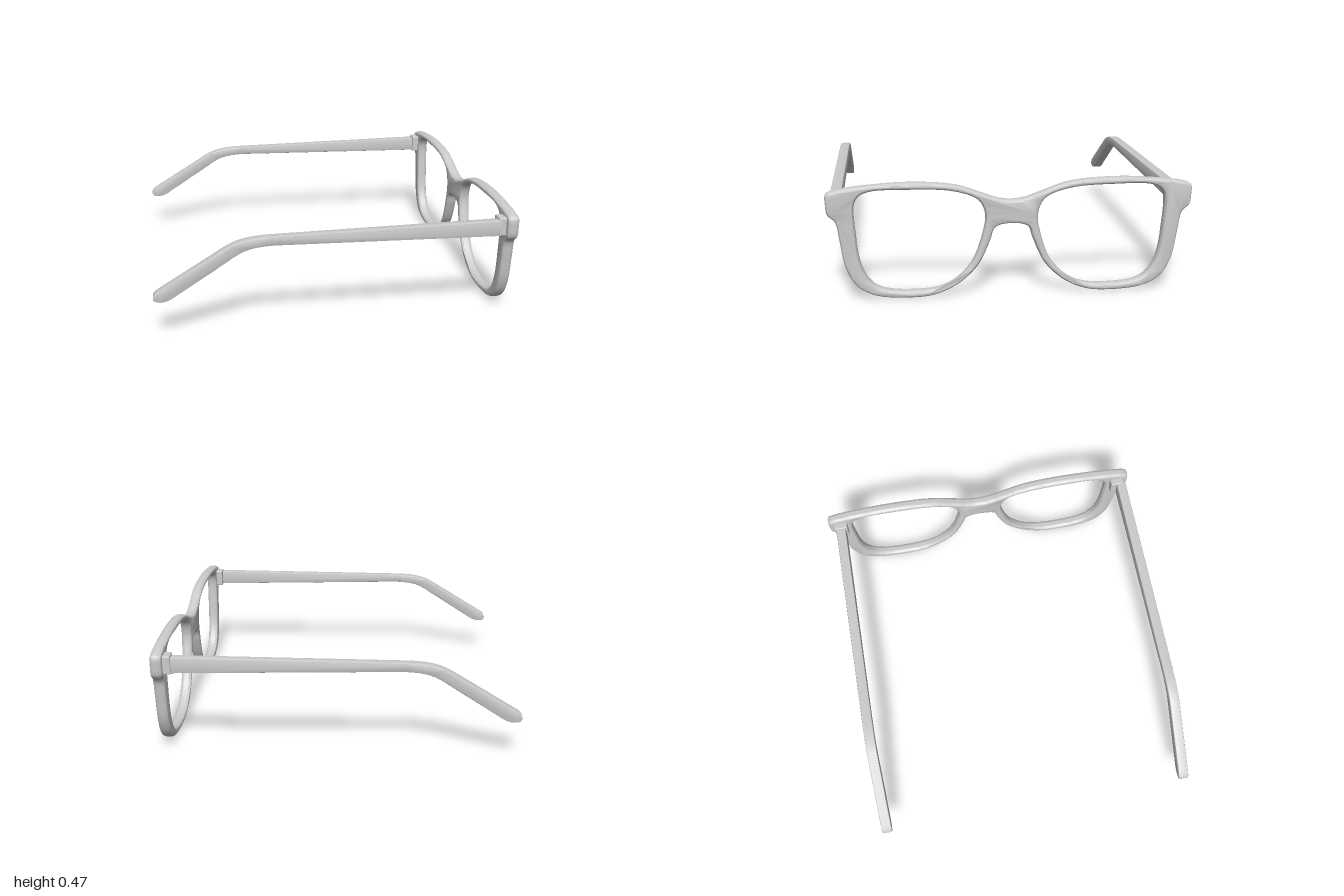
import * as THREE from 'three';
import { toCreasedNormals } from 'three/addons/utils/BufferGeometryUtils.js';
import { RoundedBoxGeometry } from 'three/addons/geometries/RoundedBoxGeometry.js';

const material = new THREE.MeshStandardMaterial({ color: 0xcccccc });

// closed smooth outline through a few points
function smoothLoop(points, count) {
  const curve = new THREE.CatmullRomCurve3(
    points.map(([x, y]) => new THREE.Vector3(x, y, 0)), true, 'centripetal');
  return curve.getPoints(count).slice(0, -1).map(p => new THREE.Vector2(p.x, p.y));
}

const mirrorX = points => points.map(([x, y]) => [-x, y]);

// extrusion centred on z = 0, with rounded edges kept inside the outline
function roundedExtrude(shape, thickness, bevelSize, bevelThickness, steps) {
  const geometry = new THREE.ExtrudeGeometry(shape, {
    depth: thickness - 2 * bevelThickness, bevelEnabled: true, bevelThickness,
    bevelSize, bevelOffset: -bevelSize, bevelSegments: steps, curveSegments: 12,
  });
  geometry.translate(0, 0, -thickness / 2 + bevelThickness);
  return toCreasedNormals(geometry, 0.7);
}

function addMesh(parent, name, geometry) {
  const mesh = new THREE.Mesh(geometry, material);
  mesh.name = name;
  parent.add(mesh);
  return mesh;
}

// front: half of the outer edge from bridge top, over the brow, round to the nose
function frameGeometry() {
  const half = [
    [0.05, 0.395], [0.115, 0.417], [0.22, 0.453], [0.4, 0.468], [0.6, 0.457],
    [0.70, 0.441], [0.718, 0.43], [0.72, 0.39], [0.714, 0.35], [0.685, 0.32],
    [0.672, 0.25], [0.65, 0.13], [0.608, 0.055], [0.54, 0.015], [0.4, 0.0],
    [0.3, 0.01], [0.205, 0.055], [0.13, 0.13], [0.086, 0.225], [0.064, 0.28],
  ];
  const opening = [
    [0.4, 0.441], [0.57, 0.432], [0.606, 0.40], [0.608, 0.27], [0.583, 0.12],
    [0.53, 0.052], [0.4, 0.028], [0.255, 0.048], [0.162, 0.13], [0.115, 0.25],
    [0.104, 0.33], [0.13, 0.39], [0.22, 0.428],
  ];
  // counter-clockwise, so both openings face the right way
  const outline = [[0, 0.389], ...half, [0, 0.294], ...mirrorX(half).reverse()].reverse();
  const shape = new THREE.Shape(smoothLoop(outline, 260));
  for (const hole of [opening, mirrorX(opening)]) {
    shape.holes.push(new THREE.Path(smoothLoop(hole, 100)));
  }
  return roundedExtrude(shape, 0.046, 0.0115, 0.016, 5);
}

// temple side profile: x runs backward, tapering, then curving down to a round tip
function templeGeometry() {
  const s = new THREE.Shape();
  s.moveTo(0.04, 0.354);
  s.lineTo(0.04, 0.419);
  s.lineTo(0.98, 0.407);
  s.bezierCurveTo(1.09, 0.405, 1.13, 0.385, 1.18, 0.353);
  s.lineTo(1.415, 0.21);
  s.bezierCurveTo(1.475, 0.175, 1.425, 0.142, 1.368, 0.174);
  s.lineTo(1.15, 0.314);
  s.bezierCurveTo(1.09, 0.356, 1.06, 0.369, 0.96, 0.371);
  s.closePath();
  return roundedExtrude(s, 0.044, 0.005, 0.005, 2).rotateY(Math.PI / 2);
}

export function createModel() {
  const model = new THREE.Group();
  model.name = 'eyeglasses';

  // the glasses stand turned toward their left
  const glasses = new THREE.Group();
  glasses.name = 'turnedGlasses';
  glasses.position.set(0.58, 0, 0.377);
  glasses.rotation.y = 0.981;
  model.add(glasses);

  addMesh(glasses, 'frontFrame', frameGeometry()).position.z = 0.005;

  const temple = templeGeometry();
  const hingeBlock = new RoundedBoxGeometry(0.06, 0.076, 0.035, 2, 0.005);
  for (const [side, sign] of [['left', 1], ['right', -1]]) {
    addMesh(glasses, side + 'Temple', temple).position.x = sign * 0.674 - 0.008;
    addMesh(glasses, side + 'HingeBlock', hingeBlock).position.set(sign * 0.664, 0.389, -0.03);
  }
  return model;
}
